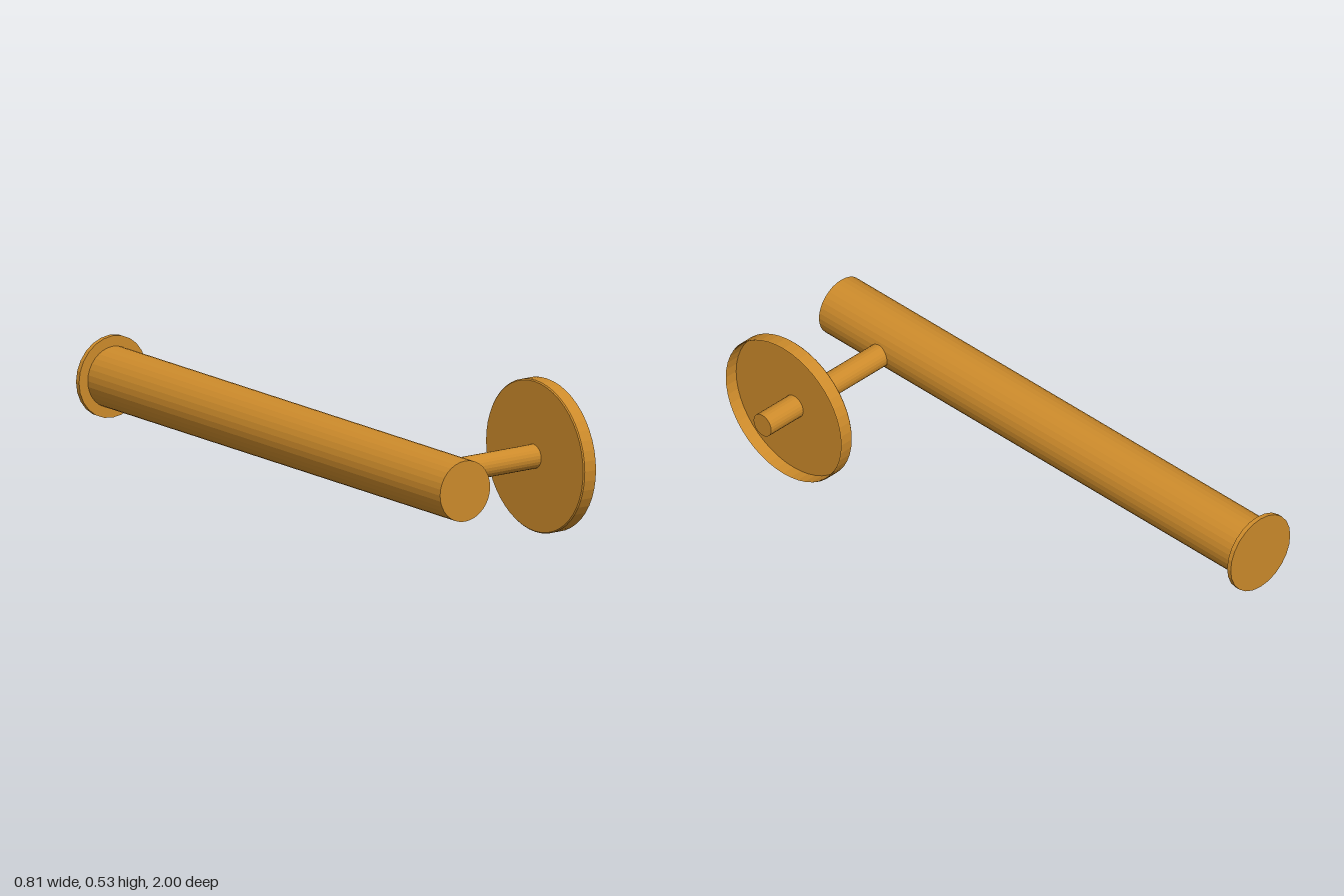
import * as THREE from 'three';

export function createModel() {
  const model = new THREE.Group();
  const material = new THREE.MeshStandardMaterial({ color: 0xcd8b2b, flatShading: true });
  const dishMaterial = material.clone();
  dishMaterial.side = THREE.DoubleSide;

  const add = (name, geometry, x, y, z, mat = material) => {
    const mesh = new THREE.Mesh(geometry, mat);
    mesh.name = name;
    mesh.position.set(x, y, z);
    model.add(mesh);
    return mesh;
  };
  // Rod between two coordinates, lying along z or x
  const rodZ = (r, z0, z1, sides) => new THREE.CylinderGeometry(r, r, z1 - z0, sides).rotateX(Math.PI / 2);
  const rodX = (r, x0, x1, sides) => new THREE.CylinderGeometry(r, r, x1 - x0, sides).rotateZ(-Math.PI / 2);

  // Long main tube with a thin flange at the back end
  add('mainTube', rodZ(0.106, -1, 1, 32), -0.26, 0.275, 0);
  add('backFlange', rodZ(0.143, -1, -0.983, 24), -0.26, 0.275, -0.9915);

  // Side axle, set into the tube
  add('axle', rodX(0.042, -0.2, 0.402, 24), 0.101, 0.264, 0.718);

  // Thin-walled dish wheel: closed towards the tube, open on the outside
  const profile = [
    [0, 0], [0.273, 0], [0.277, 0.004], [0.277, 0.049], [0.275, 0.053],
    [0.273, 0.049], [0.273, 0.005], [0, 0.005],
  ].map(([r, h]) => new THREE.Vector2(r, h));
  const dish = new THREE.LatheGeometry(profile, 48)
    .scale(0.265 / 0.277, 1, 1) // slightly flattened in height
    .rotateZ(-Math.PI / 2);
  add('dishWheel', dish, 0.243, 0.265, 0.723, dishMaterial);

  return model;
}
